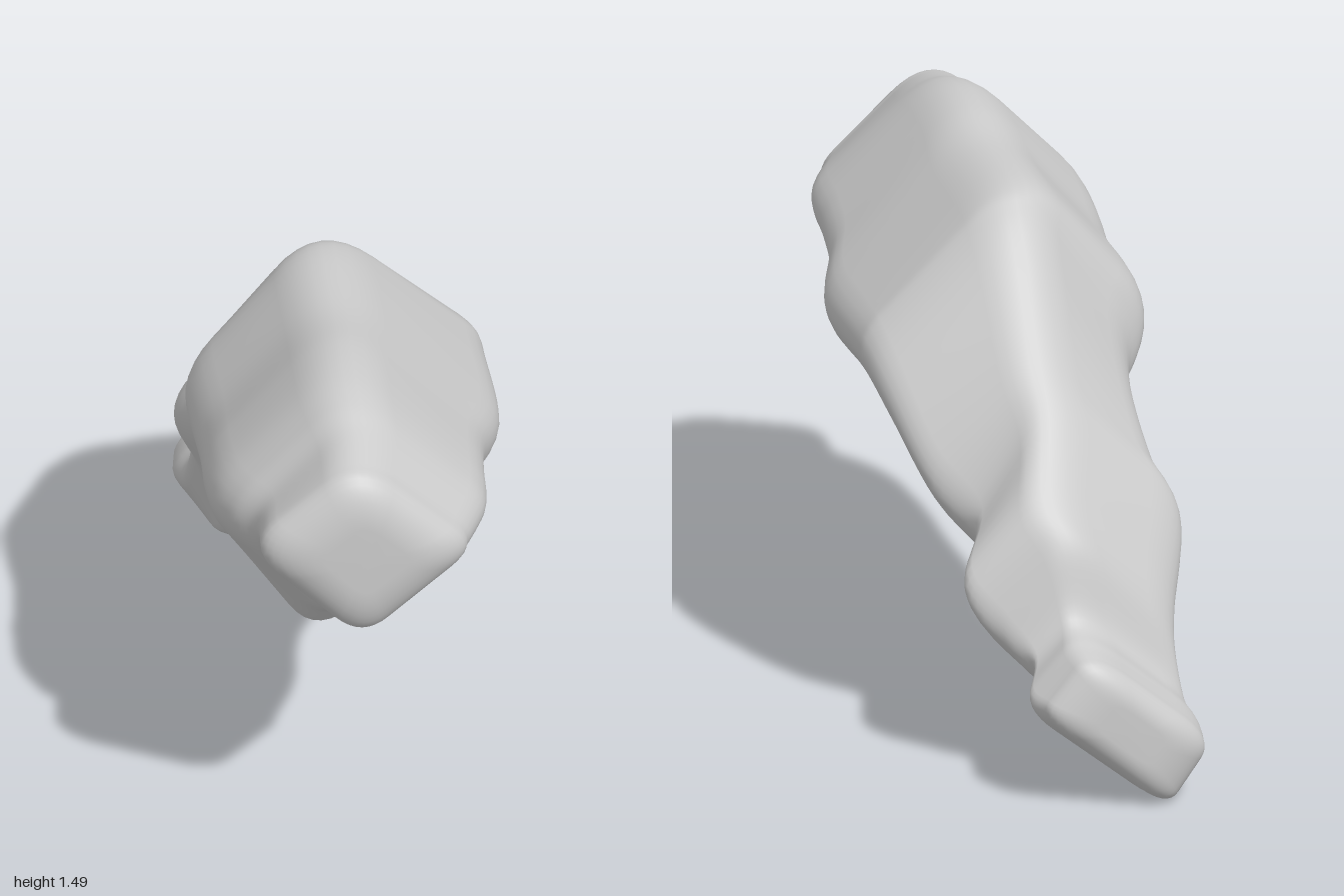
import * as THREE from 'three';

// Stations along z: [z, top x,y, right x,y, bottom x,y, left x,y] of a rounded diamond.
const STATIONS = [
  [0.92, -0.08, 1.405, 0.22, 1.14, -0.07, 0.89, -0.34, 1.18],
  [0.80, -0.07, 1.44, 0.285, 1.14, -0.08, 0.86, -0.33, 1.16],
  [0.71, -0.07, 1.47, 0.305, 1.13, -0.10, 0.79, -0.385, 1.14],
  [0.60, -0.07, 1.485, 0.315, 1.12, -0.11, 0.71, -0.42, 1.12],
  [0.45, -0.06, 1.48, 0.34, 1.09, -0.11, 0.575, -0.42, 1.09],
  [0.26, -0.05, 1.46, 0.41, 1.04, -0.11, 0.55, -0.40, 1.05],
  [-0.02, -0.04, 1.455, 0.415, 1.03, -0.12, 0.60, -0.395, 1.04],
  [-0.12, -0.03, 1.41, 0.415, 1.02, -0.12, 0.52, -0.32, 0.97],
  [-0.24, -0.02, 1.29, 0.39, 0.95, -0.12, 0.40, -0.30, 0.86],
  [-0.40, 0.00, 1.09, 0.32, 0.78, -0.13, 0.29, -0.32, 0.72],
  [-0.51, 0.01, 0.96, 0.21, 0.65, -0.13, 0.235, -0.36, 0.64],
  [-0.65, 0.04, 0.78, 0.285, 0.54, -0.15, 0.09, -0.29, 0.49],
  [-0.73, 0.01, 0.67, 0.20, 0.43, -0.17, 0.03, -0.27, 0.37],
  [-0.79, 0.00, 0.49, 0.13, 0.36, -0.18, 0.01, -0.285, 0.23],
  [-0.87, 0.01, 0.45, 0.165, 0.29, -0.18, 0.00, -0.30, 0.19],
  [-0.94, 0.01, 0.43, 0.14, 0.28, -0.18, 0.01, -0.29, 0.18],
];
const FILLETS = [0.3, 0.22, 0.22, 0.3];   // top, right, bottom, left
const ARC = 8, STEPS = 100, CAP_STEPS = 8;

const centreOf = points => points
  .reduce((sum, p) => sum.add(p), new THREE.Vector3()).divideScalar(points.length);

// Closed ring with straight sides and curved corners that reach the given extents.
function roundedRing(corners) {
  const c = centreOf(corners);
  const p = corners.map((q, i) => q.clone().sub(c).divideScalar(1 - FILLETS[i] / 2).add(c));
  return p.flatMap((corner, i) => new THREE.QuadraticBezierCurve3(
    corner.clone().lerp(p[(i + 3) % 4], FILLETS[i]), corner,
    corner.clone().lerp(p[(i + 1) % 4], FILLETS[i])).getPoints(ARC));
}

// Rings that dome an end: they shrink along a quarter ellipse while moving by depth.
function endRings(ring, depth, shrink) {
  const c = centreOf(ring);
  return Array.from({ length: CAP_STEPS }, (_, i) => {
    const angle = (i + 1) / CAP_STEPS * Math.PI / 2;
    const scale = 1 - shrink * (1 - Math.cos(angle));
    return ring.map(p => p.clone().sub(c).multiplyScalar(scale).add(c)
      .setZ(p.z + depth * Math.sin(angle)));
  });
}

function loft(rings) {
  const n = rings[0].length, end = (rings.length - 1) * n, hub = end + n;
  const points = [...rings.flat(), centreOf(rings[0]), centreOf(rings.at(-1))];
  const idx = [];
  for (let i = 0; i < n; i++) {
    const k = (i + 1) % n;
    for (let row = 0; row < end; row += n) {
      const a = row + i, b = row + k;
      idx.push(a, b, a + n, b, b + n, a + n);
    }
    // Close both ends
    idx.push(hub, k, i, hub + 1, end + i, end + k);
  }
  const g = new THREE.BufferGeometry().setFromPoints(points);
  g.setIndex(idx);
  g.computeVertexNormals();
  return g;
}

export function createModel() {
  const group = new THREE.Group();
  group.name = 'bentBlock';

  // One smooth rail per corner of the section
  const rails = [1, 3, 5, 7].map(k => new THREE.CatmullRomCurve3(
    STATIONS.map(s => new THREE.Vector3(s[k], s[k + 1], s[0])), false, 'catmullrom', 0.5));
  const rings = Array.from({ length: STEPS + 1 },
    (_, j) => roundedRing(rails.map(r => r.getPoint(j / STEPS))));
  const front = endRings(rings[0], 0.08, 0.6).reverse();
  const back = endRings(rings[STEPS], -0.06, 0.6);

  // Thick diamond-section body bending down into a stepped tail
  const body = new THREE.Mesh(loft([...front, ...rings, ...back]),
    new THREE.MeshStandardMaterial({ color: 0xcccccc }));
  body.name = 'bodyAndTail';
  group.add(body);
  return group;
}
